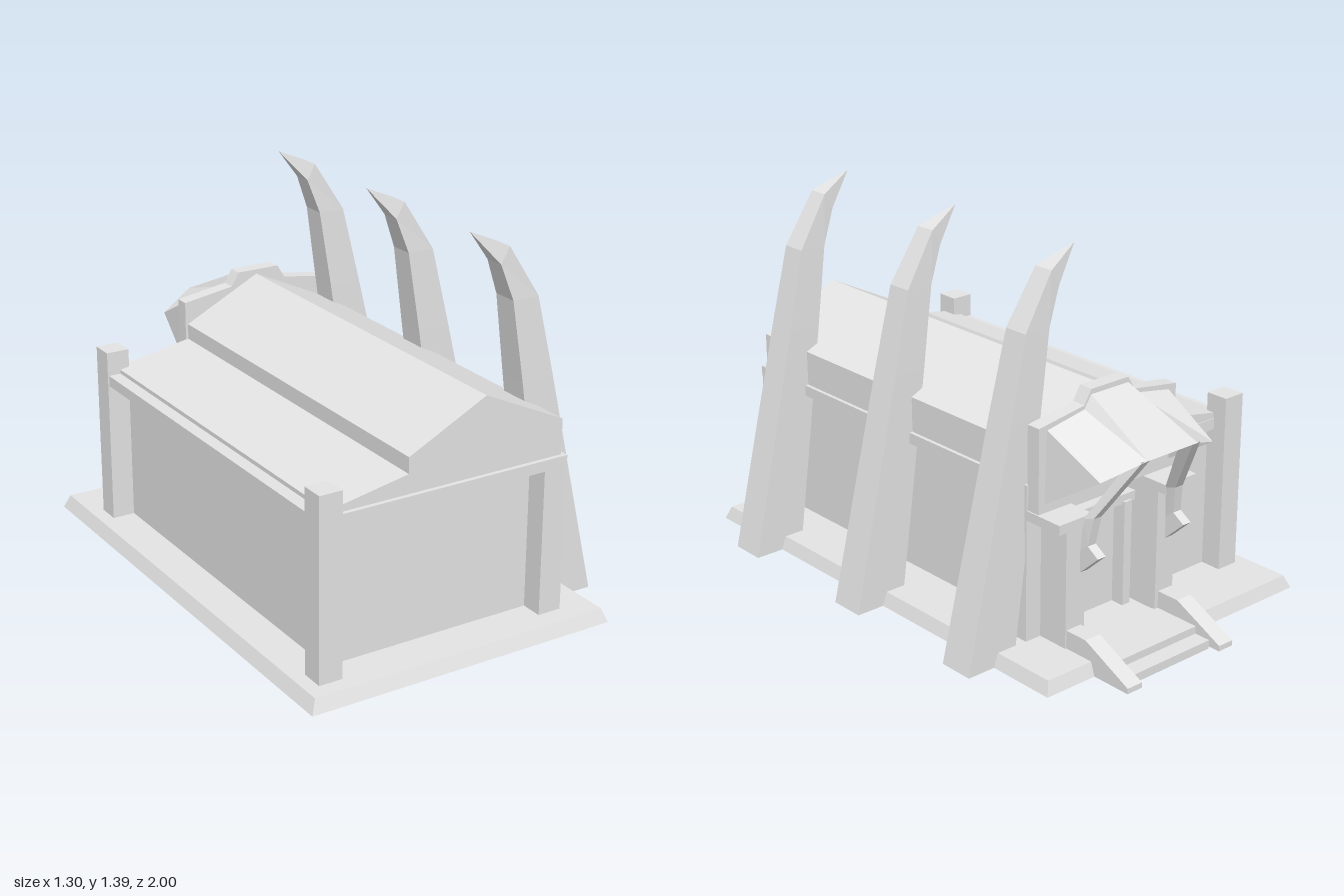
import * as THREE from 'three';

const CX = 0.08; // centre line of the porch
const stone = new THREE.MeshStandardMaterial({ color: 0xe4e4e4, side: THREE.DoubleSide });
stone.name = 'pale stone';

function add(group, name, geometry) {
  const mesh = new THREE.Mesh(geometry, stone);
  mesh.name = name;
  group.add(mesh);
}

// Box given by its limits on each axis
function block(x0, x1, y0, y1, z0, z1) {
  return new THREE.BoxGeometry(x1 - x0, y1 - y0, z1 - z0)
    .translate((x0 + x1) / 2, (y0 + y1) / 2, (z0 + z1) / 2);
}

// Outline in x, y pushed along z
function prism(points, z0, z1) {
  const shape = new THREE.Shape(points.map(p => new THREE.Vector2(...p)));
  return new THREE.ExtrudeGeometry(shape, { depth: z1 - z0, bevelEnabled: false }).translate(0, 0, z0);
}

function facets(triangles) {
  const g = new THREE.BufferGeometry();
  g.setAttribute('position', new THREE.Float32BufferAttribute(triangles.flat(2), 3));
  g.computeVertexNormals();
  return g;
}

// Level rectangle used as a cross-section
const rect = (x0, x1, y, z0, z1) => [[x0, y, z0], [x1, y, z0], [x1, y, z1], [x0, y, z1]];

// Solid through four-cornered cross-sections, turned outward by its volume;
// openStart leaves out the face on the first section
function loft(sections, openStart = false) {
  const tris = [];
  const quad = (a, b, c, d) => tris.push([a, b, c], [a, c, d]);
  quad(...[...sections[0]].reverse());
  quad(...sections[sections.length - 1]);
  for (let i = 0; i + 1 < sections.length; i++) {
    const lo = sections[i], hi = sections[i + 1];
    for (let j = 0; j < 4; j++) {
      const k = (j + 1) % 4;
      quad(lo[j], lo[k], hi[k], hi[j]);
    }
  }
  let volume = 0;
  for (const [a, b, c] of tris) {
    volume += new THREE.Vector3(...a).dot(new THREE.Vector3(...b).cross(new THREE.Vector3(...c)));
  }
  const kept = openStart ? tris.slice(2) : tris;
  return facets(volume < 0 ? kept.map(([a, b, c]) => [a, c, b]) : kept);
}

// Mirror x about the porch centre
const flip = x => 2 * CX - x;
const span = (a, b, side) => side > 0 ? [a, b] : [flip(b), flip(a)];

function buildHall(group) {
  add(group, 'basePlate', loft([
    rect(-0.65, 0.54, 0.008, -0.845, 1), rect(-0.628, 0.522, 0.057, -0.828, 0.98)]));
  // Walls set back to the inner faces of the pillars and posts
  add(group, 'walls', block(-0.492, 0.313, 0.05, 0.6, -0.558, 0.825));
  add(group, 'eavesBand', block(-0.572, 0.401, 0.59, 0.63, -0.588, 0.908));
  add(group, 'lowerRoof', prism(
    [[-0.525, 0.62], [-0.2, 0.62], [-0.2, 0.703], [-0.225, 0.7], [-0.525, 0.645]], -0.585, 0.892));
  add(group, 'upperRoof', prism(
    [[-0.225, 0.62], [0.387, 0.62], [0.387, 0.758], [0.072, 0.906], [-0.225, 0.758]], -0.585, 0.892));
  // Tall pillars on one side, low posts under the band on the other
  for (const z of [0.835, -0.64]) add(group, 'cornerPillar', block(-0.577, -0.49, 0.007, 0.719, z, z + 0.087));
  for (const z of [0.815, -0.585]) add(group, 'cornerPost', block(0.31, 0.4, 0.05, 0.6, z, z + 0.092));
}

function buildTusks(group) {
  // inner x, y, outer x, y, half width
  const rows = [
    [0.45, 0.008, 0.65, 0.008, 0.067],
    [0.4, 0.353, 0.57, 0.353, 0.063],
    [0.328, 0.85, 0.455, 0.85, 0.056],
    [0.284, 1.142, 0.387, 1.142, 0.047],
    [0.236, 1.271, 0.269, 1.329, 0.038],
    [0.136, 1.387, 0.137, 1.388, 0.001],
  ];
  for (const z of [0.69, 0.08, -0.515]) {
    add(group, 'curvedTusk', loft(rows.map(([xi, yi, xo, yo, w]) =>
      [[xi, yi, z - w], [xo, yo, z - w], [xo, yo, z + w], [xi, yi, z + w]]), true));
  }
}

function buildPorch(group) {
  // Stepped header behind the hood
  const half = [[-0.235, 0.54], [-0.235, 0.843], [-0.035, 0.873], [-0.005, 0.923]];
  const mirrored = half.map(([x, y]) => [flip(x), y]).reverse();
  add(group, 'header', prism([...half, ...mirrored], -0.637, -0.583));
  add(group, 'lintel', block(-0.09, flip(-0.09), 0.44, 0.475, -0.6, -0.55));

  for (const side of [1, -1]) {
    const mx = x => side > 0 ? x : flip(x);
    add(group, 'porchPillar', block(...span(-0.175, -0.09, side), 0.05, 0.51, -0.708, -0.55));
    add(group, 'doorJamb', block(...span(-0.065, -0.03, side), 0.05, 0.45, -0.61, -0.55));
    add(group, 'bracket', block(...span(-0.24, -0.09, side), 0.505, 0.54, -0.742, -0.55));
    const cheek = span(-0.17, -0.105, side);
    add(group, 'stairCheek', loft([
      rect(...cheek, 0.008, -1, -0.7), rect(...cheek, 0.028, -1, -0.7),
      rect(...cheek, 0.124, -0.8, -0.7)], true));

    // Hanging hooked fang: x, outer z, y, inner z, y
    const rows = [
      [-0.035, -0.925, 0.768, -0.865, 0.748],
      [-0.11, -0.785, 0.545, -0.738, 0.53],
      [-0.12, -0.77, 0.445, -0.735, 0.42],
      [-0.12, -0.818, 0.415, -0.735, 0.338],
    ];
    add(group, 'hookedFang', loft(rows.map(([x, zo, yo, zi, yi]) =>
      [[mx(x - 0.018), yo, zo], [mx(x + 0.018), yo, zo], [mx(x + 0.018), yi, zi], [mx(x - 0.018), yi, zi]])));

    // Side panels of the hood
    const at = (x, y, z) => [mx(x), y, z];
    const tip = at(-0.035, 0.769, -0.93), corner = at(-0.18, 0.713, -0.865);
    const ridge = at(-0.005, 0.905, -0.635), step = at(-0.035, 0.86, -0.635);
    const eave = at(-0.2, 0.83, -0.635), foot = at(-0.21, 0.57, -0.635);
    const panels = [[ridge, tip, step], [step, tip, corner], [step, corner, eave], [eave, corner, foot]];
    add(group, 'hoodSide', facets(panels.map(([a, b, c]) => side > 0 ? [a, b, c] : [a, c, b])));
  }

  // Raised middle panel of the hood
  const a = [-0.005, 0.905, -0.635], b = [flip(-0.005), 0.905, -0.635];
  const c = [flip(-0.035), 0.769, -0.93], d = [-0.035, 0.769, -0.93];
  add(group, 'hoodCentre', facets([[a, b, c], [a, c, d]]));

  // Steps, open underneath
  const treads = [-0.105, flip(-0.105)];
  add(group, 'landing', loft([rect(...treads, 0.008, -0.89, -0.7), rect(...treads, 0.06, -0.89, -0.7)], true));
  add(group, 'lowerStep', loft([rect(...treads, 0, -0.953, -0.7), rect(...treads, 0.032, -0.953, -0.7)], true));
}

export function createModel() {
  const model = new THREE.Group();
  model.name = 'tuskedHall';
  for (const [name, build] of [['hall', buildHall], ['tusks', buildTusks], ['porch', buildPorch]]) {
    const part = new THREE.Group();
    part.name = name;
    build(part);
    model.add(part);
  }
  return model;
}
